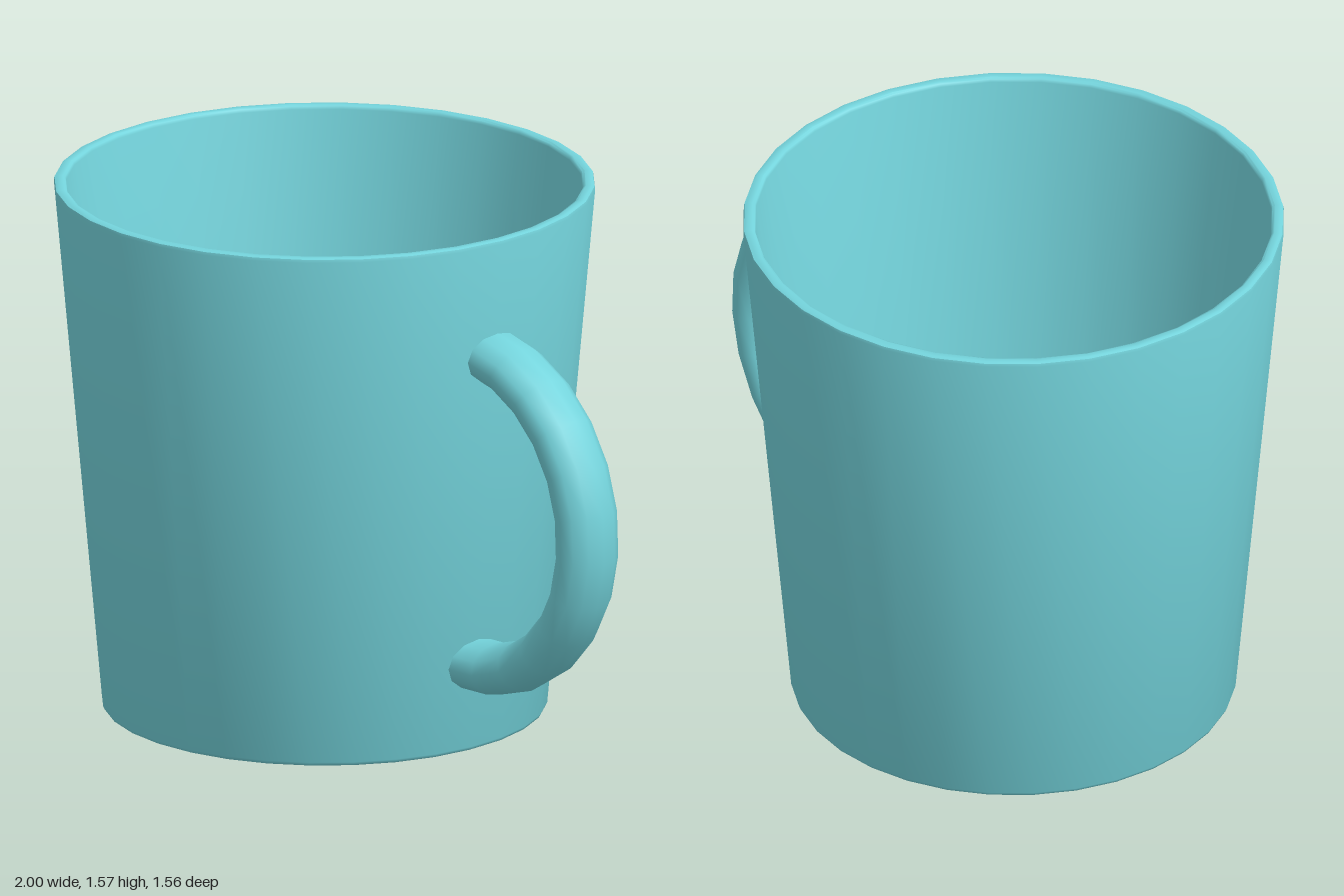
import * as THREE from 'three';
import { toCreasedNormals } from 'three/addons/utils/BufferGeometryUtils.js';

export function createModel() {
  const group = new THREE.Group();
  group.name = 'mug';

  const glaze = new THREE.MeshStandardMaterial({ color: 0x74d4dc });
  glaze.name = 'turquoise glaze';

  // Hollow tapered cup: underside, outer wall, rounded rim, inner wall, floor
  const profile = [
    [0, 0], [0.63, 0], [0.637, 0.003], [0.641, 0.012],
    [0.779, 1.553], [0.777, 1.562], [0.77, 1.565],
    [0.753, 1.565], [0.746, 1.562], [0.743, 1.553],
    [0.604, 0.04], [0, 0.04],
  ].map(([r, y]) => new THREE.Vector2(r, y));
  const cup = new THREE.Mesh(toCreasedNormals(new THREE.LatheGeometry(profile, 32), 0.9), glaze);
  cup.name = 'cup';
  cup.position.x = -0.22;
  group.add(cup);

  // Half-ring handle with an oval section, leaning with the slope of the wall
  const tilt = 0.09;
  const ring = new THREE.TorusGeometry(0.475, 0.075, 12, 12, Math.PI);
  ring.rotateZ(-Math.PI / 2 - tilt);
  ring.scale(1, 1, 1.33);
  const handle = new THREE.Mesh(ring, glaze);
  handle.name = 'handle';
  handle.position.set(0.45, 0.738, 0);
  group.add(handle);

  return group;
}
